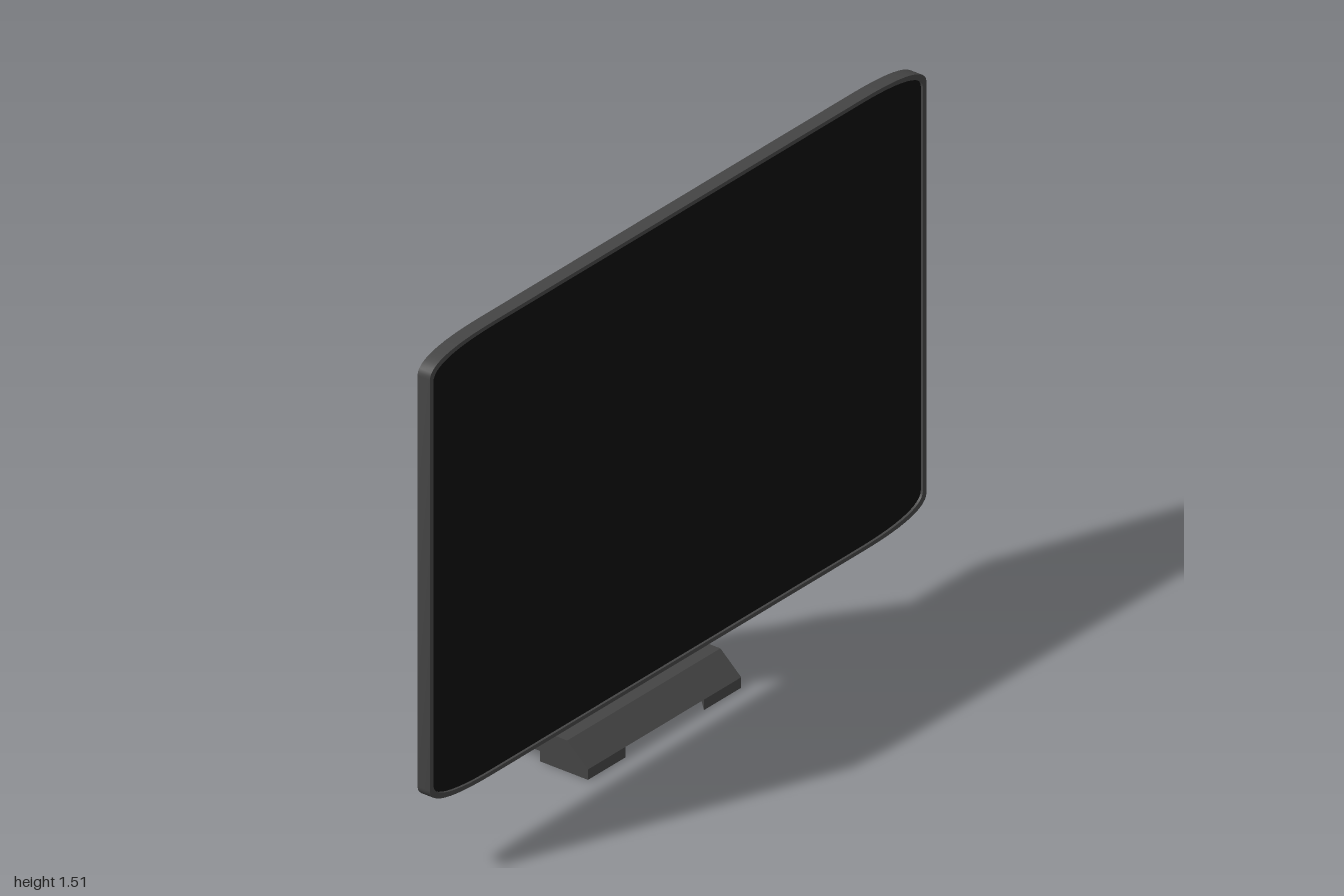
import * as THREE from 'three';
import { toCreasedNormals } from 'three/addons/utils/BufferGeometryUtils.js';

const material = (color) => new THREE.MeshStandardMaterial({ color });
const frameGrey = material(0x444444);
const backGrey = material(0x383838);
const screenBlack = material(0x0d0d0d);

function addPart(group, name, geometry, mat) {
  const mesh = new THREE.Mesh(geometry, mat);
  mesh.name = name;
  group.add(mesh);
  return mesh;
}

// Skin a list of equal-length rings and close both ends.
function loft(rings, crease = 0.65) {
  const pos = [];
  const tri = (...pts) => pts.forEach((p) => pos.push(p.x, p.y, p.z));
  const n = rings[0].length;
  const centre = (r) => r.reduce((s, p) => s.add(p), new THREE.Vector3()).divideScalar(n);
  const first = rings[0], last = rings[rings.length - 1];
  const c0 = centre(first), c1 = centre(last);
  for (let j = 0; j < n; j++) {
    const k = (j + 1) % n;
    for (let i = 0; i < rings.length - 1; i++) {
      const a = rings[i], b = rings[i + 1];
      tri(a[j], a[k], b[k]);
      tri(a[j], b[k], b[j]);
    }
    tri(c0, first[k], first[j]);
    tri(c1, last[j], last[k]);
  }
  const geo = new THREE.BufferGeometry();
  geo.setAttribute('position', new THREE.Float32BufferAttribute(pos, 3));
  return toCreasedNormals(geo, crease);
}

// Panel outline with long, shallow corner curves (centred on the origin).
function panelPath(w, h, Type = THREE.Shape) {
  const cx = 0.25, cy = 0.06;
  const p = new Type();
  p.moveTo(w, -h + cy);
  p.lineTo(w, h - cy);
  p.quadraticCurveTo(w, h, w - cx, h);
  p.lineTo(-w + cx, h);
  p.quadraticCurveTo(-w, h, -w, h - cy);
  p.lineTo(-w, -h + cy);
  p.quadraticCurveTo(-w, -h, -w + cx, -h);
  p.lineTo(w - cx, -h);
  p.quadraticCurveTo(w, -h, w, -h + cy);
  return p;
}

// Extrude a panel shape so that its depth runs along +x.
function extrudeX(shape, x, depth) {
  const geo = new THREE.ExtrudeGeometry(shape, { depth, bevelEnabled: false, curveSegments: 12 });
  geo.rotateY(Math.PI / 2).translate(x, 0.86, 0);
  return toCreasedNormals(geo, 0.5);
}

// Horizontal ring with rounded corners: rb at the back (-x), rf at the front (+x).
function standRing(y, xb, xf, rb, rf) {
  const h = 0.165, ring = [], steps = 5;
  const corners = [[xf - rf, h - rf, rf], [xb + rb, h - rb, rb], [xb + rb, -h + rb, rb], [xf - rf, -h + rf, rf]];
  corners.forEach(([cx, cv, r], q) => {
    for (let i = 0; i <= steps; i++) {
      const a = (q + i / steps) * Math.PI / 2;
      ring.push(new THREE.Vector3(cx + r * Math.cos(a), y, -(cv + r * Math.sin(a))));
    }
  });
  return ring;
}

function createDisplay() {
  const display = new THREE.Group();
  display.name = 'display';

  // Frame with an opening, and the slightly recessed screen
  const rim = panelPath(1, 0.65);
  rim.holes.push(panelPath(0.986, 0.639, THREE.Path));
  addPart(display, 'screenFrame', extrudeX(rim, 0.205, 0.04), frameGrey);
  addPart(display, 'screen', extrudeX(panelPath(0.988, 0.641), 0.21, 0.028), screenBlack);

  // Back shell tapering towards the stand mount
  const outline = panelPath(1, 0.65).getPoints(12);
  if (outline[0].distanceTo(outline[outline.length - 1]) < 1e-6) outline.pop();
  const backRing = (x, su, sv) => outline.map((p) => new THREE.Vector3(x, 0.86 + p.y * sv, p.x * su));
  addPart(display, 'backShell',
    loft([backRing(0.212, 0.995, 0.995), backRing(0.205, 0.995, 0.995), backRing(0.19, 0.3, 0.23)], 0.3), backGrey);
  return display;
}

function createStand() {
  const stand = new THREE.Group();
  stand.name = 'stand';

  // Curved neck: height, back x, front x
  const neck = [
    [0.08, -0.095, 0.06], [0.09, -0.095, 0.06], [0.23, -0.105, 0.03], [0.35, -0.135, -0.035],
    [0.46, -0.135, -0.035], [0.59, -0.105, 0.03], [0.715, -0.095, 0.057],
  ];
  addPart(stand, 'neck', loft(neck.map(([y, b, f]) => standRing(y, b, f, 0.04, 0.035))), frameGrey);

  // Head joining the neck to the back shell
  const head = [[0.71, -0.095, 0.04], [0.985, -0.027, 0.03], [1.007, -0.018, 0.03], [1.015, -0.003, 0.02]];
  addPart(stand, 'head', loft(head.map(([y, b, r]) => standRing(y, b, 0.195, r, 0.004))), frameGrey);
  return stand;
}

function createBase() {
  const base = new THREE.Group();
  base.name = 'base';
  const x0 = -0.25, x1 = 0.212, z0 = -0.295, z1 = 0.322;

  // Plate with sloping front and back
  const profile = new THREE.Shape([[x0, 0.03], [x1, 0.03], [0.145, 0.09], [-0.18, 0.09]]
    .map(([x, y]) => new THREE.Vector2(x, y)));
  const plate = new THREE.ExtrudeGeometry(profile, { depth: z1 - z0, bevelEnabled: false });
  addPart(base, 'basePlate', plate.translate(0, 0, z0), frameGrey);

  // Triangular feet under the four corners
  for (const [x, sx] of [[x0, 1], [x1, -1]]) {
    for (const [z, sz] of [[z0, 1], [z1, -1]]) {
      const tri = new THREE.Shape([[x, -z], [x + sx * 0.155, -z], [x, -(z + sz * 0.15)]]
        .map(([u, v]) => new THREE.Vector2(u, v)));
      const foot = new THREE.ExtrudeGeometry(tri, { depth: 0.03, bevelEnabled: false });
      addPart(base, 'foot', foot.rotateX(-Math.PI / 2), frameGrey);
    }
  }
  return base;
}

export function createModel() {
  const model = new THREE.Group();
  model.name = 'monitor';
  model.add(createDisplay(), createStand(), createBase());
  return model;
}
